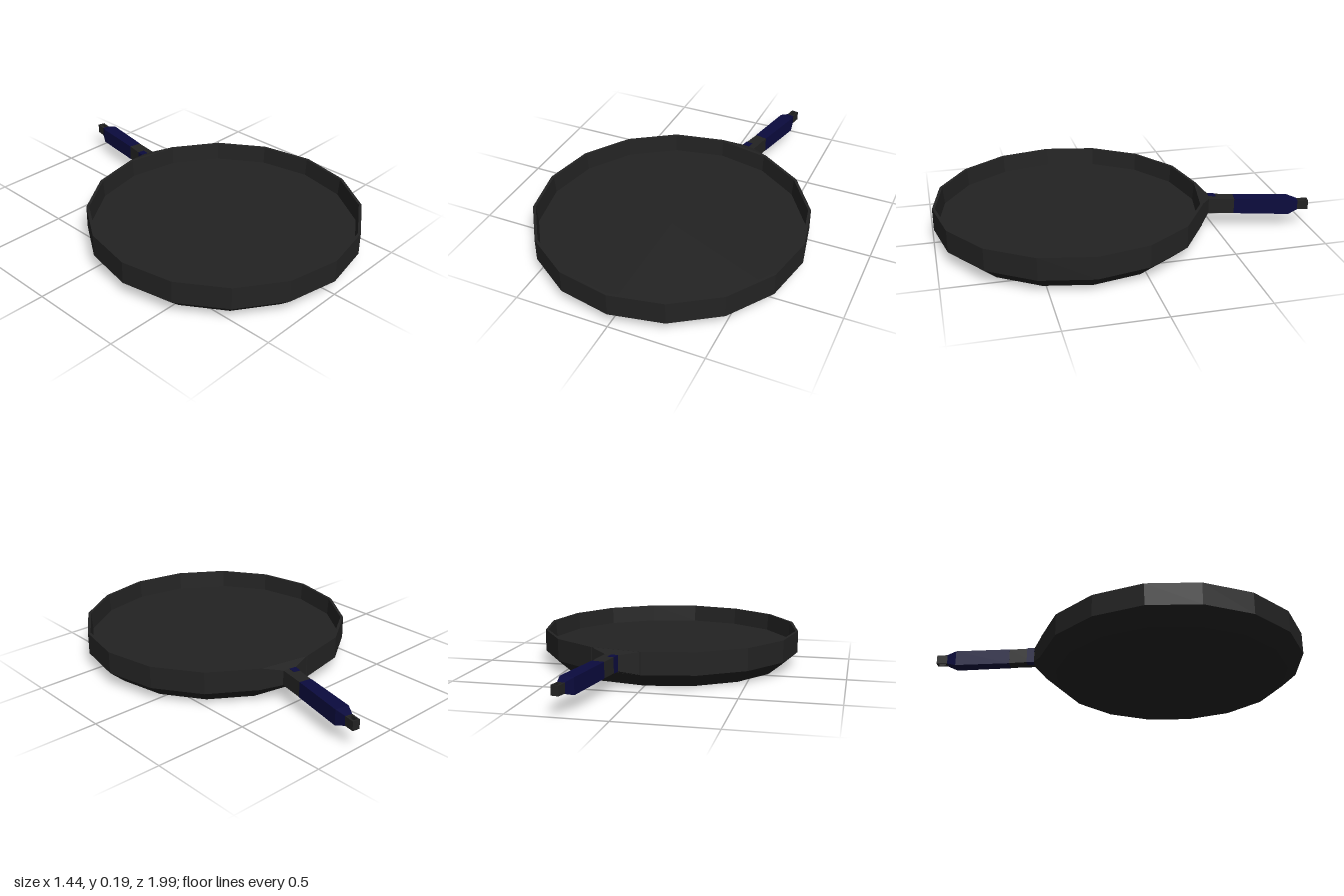
import * as THREE from 'three';

const iron = new THREE.MeshStandardMaterial({ color: 0x232323, flatShading: true });
iron.name = 'dark iron';
const navy = new THREE.MeshStandardMaterial({ color: 0x0b0b3e, flatShading: true });
navy.name = 'navy grip';

function add(parent, name, geometry, material) {
  const mesh = new THREE.Mesh(geometry, material);
  mesh.name = name;
  parent.add(mesh);
  return mesh;
}

// Rectangular loft along z; each section is [z, xMin, xMax, yMin, yMax]
function loft(sections) {
  const rings = sections.map(([z, x0, x1, y0, y1]) => [[x0, y0, z], [x1, y0, z], [x1, y1, z], [x0, y1, z]]);
  const pos = [];
  const quad = (a, b, c, d) => pos.push(...a, ...b, ...c, ...a, ...c, ...d);
  for (let i = 0; i < rings.length - 1; i++) {
    const p = rings[i], q = rings[i + 1];
    for (let k = 0; k < 4; k++) {
      const n = (k + 1) % 4;
      quad(p[k], p[n], q[n], q[k]);
    }
  }
  const s = rings[0], e = rings[rings.length - 1];
  quad(s[3], s[2], s[1], s[0]);
  quad(e[0], e[1], e[2], e[3]);
  const g = new THREE.BufferGeometry();
  g.setAttribute('position', new THREE.Float32BufferAttribute(pos, 3));
  g.computeVertexNormals();
  return g;
}

export function createModel() {
  const model = new THREE.Group();
  model.name = 'fryingPan';

  // Sixteen-sided pan body with a shallow dish
  const profile = [[0, 0], [0.635, 0], [0.72, 0.075], [0.72, 0.195], [0.705, 0.195], [0.698, 0.1], [0, 0.1]];
  const body = add(model, 'panBody', new THREE.LatheGeometry(profile.map(p => new THREE.Vector2(...p)), 16), iron);
  body.position.z = 0.275;

  // Handle runs along its local +z, out of the middle of one side of the pan
  const handle = new THREE.Group();
  handle.name = 'handle';
  handle.position.z = 0.275;
  handle.rotation.y = Math.PI - Math.PI / 16;
  model.add(handle);

  // Flared socket and neck
  add(handle, 'handleNeck', loft([
    [0.704, -0.14, 0.14, 0.075, 0.195],
    [0.752, -0.036, 0.036, 0.095, 0.177],
    [0.892, -0.033, 0.033, 0.09, 0.172],
  ]), iron);

  // Small coloured patch on one side of the neck
  add(handle, 'neckPatch', loft([
    [0.753, 0, 0.038, 0.093, 0.179],
    [0.793, 0, 0.037, 0.092, 0.177],
  ]), navy);

  // Grip, widening and then tapering toward the end
  add(handle, 'grip', loft([
    [0.89, -0.034, 0.034, 0.089, 0.173],
    [1.187, -0.038, 0.038, 0.08, 0.164],
    [1.238, -0.02, 0.02, 0.098, 0.15],
  ]), navy);

  // Hanging loop
  const rect = (Type, w, z0, z1) => {
    const s = new Type();
    s.moveTo(-w, z0);
    s.lineTo(w, z0);
    s.lineTo(w, z1);
    s.lineTo(-w, z1);
    s.closePath();
    return s;
  };
  const ring = rect(THREE.Shape, 0.02, 1.225, 1.296);
  ring.holes.push(rect(THREE.Path, 0.011, 1.246, 1.287));
  const loop = new THREE.ExtrudeGeometry(ring, { depth: 0.05, bevelEnabled: false });
  loop.rotateX(Math.PI / 2);
  loop.translate(0, 0.149, 0);
  add(handle, 'hangingLoop', loop, iron);

  return model;
}
